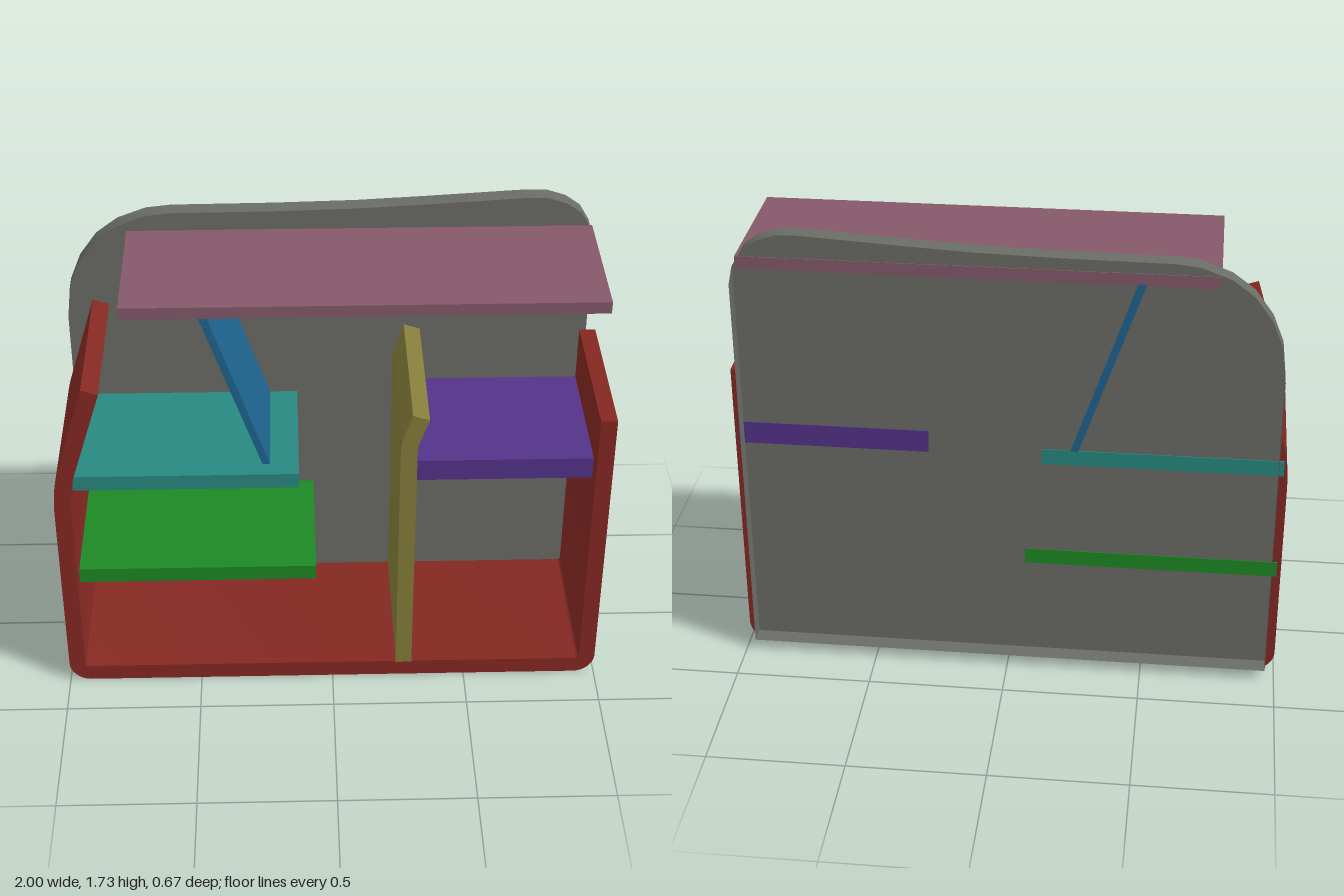
import * as THREE from 'three';
import { toCreasedNormals } from 'three/addons/utils/BufferGeometryUtils.js';

const BACK = -0.27;   // plane where the back panel starts
const FRONT = 0.335;
const SHELF_FRONT = 0.265;
const SHELF_BACK = BACK - 0.003; // shelf ends show through the panel

const shapeOf = (pts) => new THREE.Shape(pts.map(([x, y]) => new THREE.Vector2(x, y)));

function extrude(shape, z0, z1) {
  const geo = new THREE.ExtrudeGeometry(shape, { depth: z1 - z0, bevelEnabled: false, curveSegments: 8 });
  geo.translate(0, 0, z0);
  return geo;
}

function part(name, geo, color, side = THREE.FrontSide) {
  const mesh = new THREE.Mesh(toCreasedNormals(geo, 0.5), new THREE.MeshStandardMaterial({ color, side }));
  mesh.name = name;
  return mesh;
}

function shelf(name, color, x0, x1, y0, y1) {
  const geo = new THREE.BoxGeometry(x1 - x0, y1 - y0, SHELF_FRONT - SHELF_BACK);
  geo.translate((x0 + x1) / 2, (y0 + y1) / 2, (SHELF_FRONT + SHELF_BACK) / 2);
  return part(name, geo, color);
}

// U-shaped case: right wall leans inward at the top, rounded bottom corners
function caseShape() {
  const s = new THREE.Shape();
  const r = 0.08, ri = 0.015;
  s.moveTo(1, 1.165);
  s.lineTo(0.94, 1.165);
  s.lineTo(0.94, 0.065 + ri);
  s.quadraticCurveTo(0.94, 0.065, 0.94 - ri, 0.065);
  s.lineTo(-0.94 + ri, 0.065);
  s.quadraticCurveTo(-0.94, 0.065, -0.94, 0.065 + ri);
  s.lineTo(-0.94, 0.79);
  s.quadraticCurveTo(-0.94, 0.89, -0.915, 0.97);
  s.lineTo(-0.81, 1.305);
  s.lineTo(-0.87, 1.325);
  s.lineTo(-0.975, 0.98);
  s.quadraticCurveTo(-1, 0.9, -1, 0.79);
  s.lineTo(-1, r);
  s.absarc(-1 + r, r, r, Math.PI, Math.PI * 1.5, false);
  s.lineTo(1 - r, 0);
  s.absarc(1 - r, r, r, Math.PI * 1.5, Math.PI * 2, false);
  s.closePath();
  return s;
}

// Back panel: a front sheet with a thin rim, open at the rear
function backPanel(color) {
  const shape = shapeOf([
    [-0.965, 0.04], [0.965, 0.04], [0.965, 1.53], [0.95, 1.60], [0.915, 1.66], [0.86, 1.70],
    [0.79, 1.723], [0.72, 1.725], [0.35, 1.703], [0.1, 1.69], [-0.2, 1.683], [-0.57, 1.68],
    [-0.66, 1.67], [-0.765, 1.63], [-0.845, 1.57], [-0.91, 1.48], [-0.95, 1.38], [-0.965, 1.25],
  ]);
  const group = new THREE.Group();
  group.name = 'backPanel';

  const sheet = new THREE.ShapeGeometry(shape);
  sheet.translate(0, 0, BACK);
  group.add(part('panelSheet', sheet, color, THREE.DoubleSide));

  // Keep only the side walls of the extrusion
  const full = extrude(shape, -FRONT, BACK);
  const walls = full.groups[1];
  const rim = new THREE.BufferGeometry();
  const positions = full.attributes.position.array.slice(walls.start * 3, (walls.start + walls.count) * 3);
  rim.setAttribute('position', new THREE.BufferAttribute(positions, 3));
  group.add(part('panelRim', rim, color, THREE.DoubleSide));
  return group;
}

export function createModel() {
  const model = new THREE.Group();
  model.name = 'shelfUnit';

  model.add(part('case', extrude(caseShape(), BACK + 0.002, FRONT), 0x842822));
  model.add(backPanel(0x6a6c66));

  // Upright divider with a bent top
  const divider = shapeOf([
    [0.24, 0.06], [0.30, 0.06], [0.30, 1.05], [0.303, 1.075], [0.34, 1.18],
    [0.28, 1.20], [0.247, 1.10], [0.24, 1.06],
  ]);
  model.add(part('divider', extrude(divider, BACK + 0.002, FRONT), 0x857d3a));

  // Shelves, let into the side walls
  model.add(shelf('lowerShelf', 0x1c8824, -0.985, -0.06, 0.42, 0.48));
  model.add(shelf('middleShelf', 0x278880, -0.985, -0.12, 0.845, 0.905));
  model.add(shelf('sideShelf', 0x533288, 0.29, 0.985, 0.87, 0.955));
  model.add(shelf('topShelf', 0x85596b, -0.73, 0.955, 1.565, 1.61));

  // Slanted support between the middle and top shelves
  const brace = shapeOf([[-0.25, 0.9], [-0.222, 0.9], [-0.447, 1.57], [-0.477, 1.57]]);
  model.add(part('slantedSupport', extrude(brace, SHELF_BACK, 0.2), 0x1e648f));

  return model;
}
